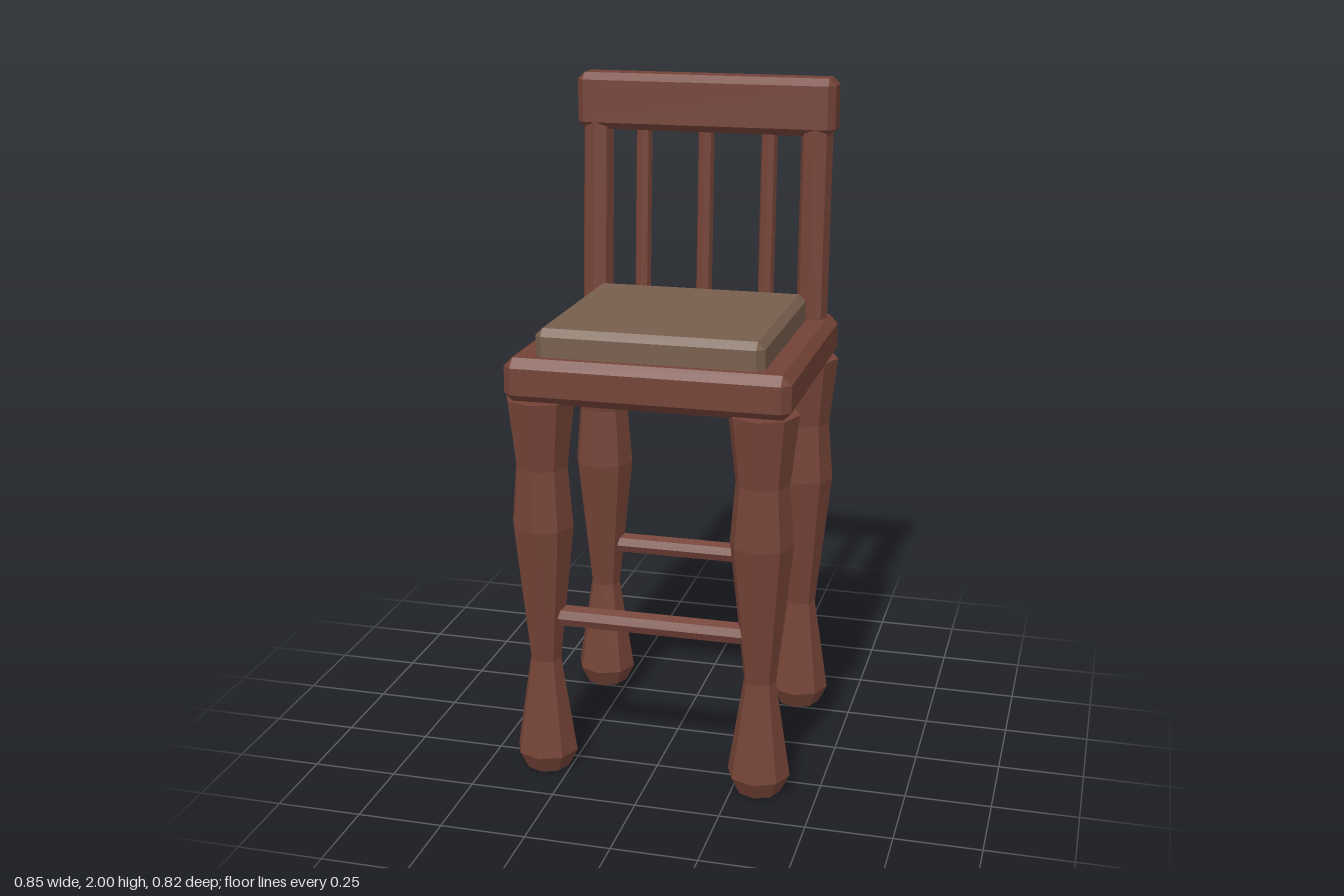
import * as THREE from 'three';
import { ConvexGeometry } from 'three/addons/geometries/ConvexGeometry.js';

const wood = new THREE.MeshStandardMaterial({ name: 'red brown wood', color: 0x744337, flatShading: true });
const fabric = new THREE.MeshStandardMaterial({ name: 'tan cushion', color: 0x775e4c, flatShading: true });

// Box between two corners with every edge cut by a single chamfer
function chamferBox([x0, y0, z0], [x1, y1, z1], c) {
  const points = [];
  for (const [x, dx] of [[x0, c], [x1, -c]])
    for (const [y, dy] of [[y0, c], [y1, -c]])
      for (const [z, dz] of [[z0, c], [z1, -c]])
        points.push(
          new THREE.Vector3(x, y + dy, z + dz),
          new THREE.Vector3(x + dx, y, z + dz),
          new THREE.Vector3(x + dx, y + dy, z)
        );
  return new ConvexGeometry(points);
}

// Straight faceted bar between two points
function bar(from, to, radius, sides) {
  const a = new THREE.Vector3(...from), b = new THREE.Vector3(...to);
  const dir = b.clone().sub(a);
  const geo = new THREE.CylinderGeometry(radius, radius, dir.length(), sides);
  const up = new THREE.Vector3(0, 1, 0);
  geo.applyQuaternion(new THREE.Quaternion().setFromUnitVectors(up, dir.normalize()));
  const mid = a.add(b).multiplyScalar(0.5);
  return geo.translate(mid.x, mid.y, mid.z);
}

export function createModel() {
  const chair = new THREE.Group();
  chair.name = 'chair';
  const add = (name, geometry, material = wood) => {
    const mesh = new THREE.Mesh(geometry, material);
    mesh.name = name;
    chair.add(mesh);
    return mesh;
  };

  // Seat, cushion and top rail
  add('seat', chamferBox([-0.413, 1.15, -0.39], [0.413, 1.28, 0.39], 0.026));
  add('cushion', chamferBox([-0.33, 1.25, -0.288], [0.33, 1.36, 0.345], 0.021), fabric);
  add('topRail', chamferBox([-0.398, 1.83, -0.41], [0.398, 2, -0.3], 0.021));

  // Four turned legs, eight-sided
  const profile = [[0, 0], [0.066, 0], [0.093, 0.055], [0.047, 0.35], [0.093, 0.77],
    [0.078, 0.95], [0.102, 1.155], [0, 1.155]].map(([r, y]) => new THREE.Vector2(r, y));
  const legGeometry = new THREE.LatheGeometry(profile, 8);
  for (const [end, z] of [['front', 0.31], ['back', -0.31]]) {
    for (const [side, x] of [['Left', 0.325], ['Right', -0.325]])
      add(`${end}${side}Leg`, legGeometry).position.set(x, 0, z);
    // Rung joining each pair of legs
    add(`${end}Rung`, bar([-0.32, 0.488, z], [0.32, 0.488, z], 0.033, 8));
  }

  // Leaning back posts and thin spindles
  for (const [side, x] of [['left', 0.34], ['right', -0.34]])
    add(`${side}BackPost`, bar([x, 1.24, -0.313], [x, 1.88, -0.349], 0.048, 8));
  for (const x of [-0.195, 0, 0.195])
    add('backSpindle', bar([x, 1.24, -0.313], [x, 1.88, -0.349], 0.025, 8));

  return chair;
}
